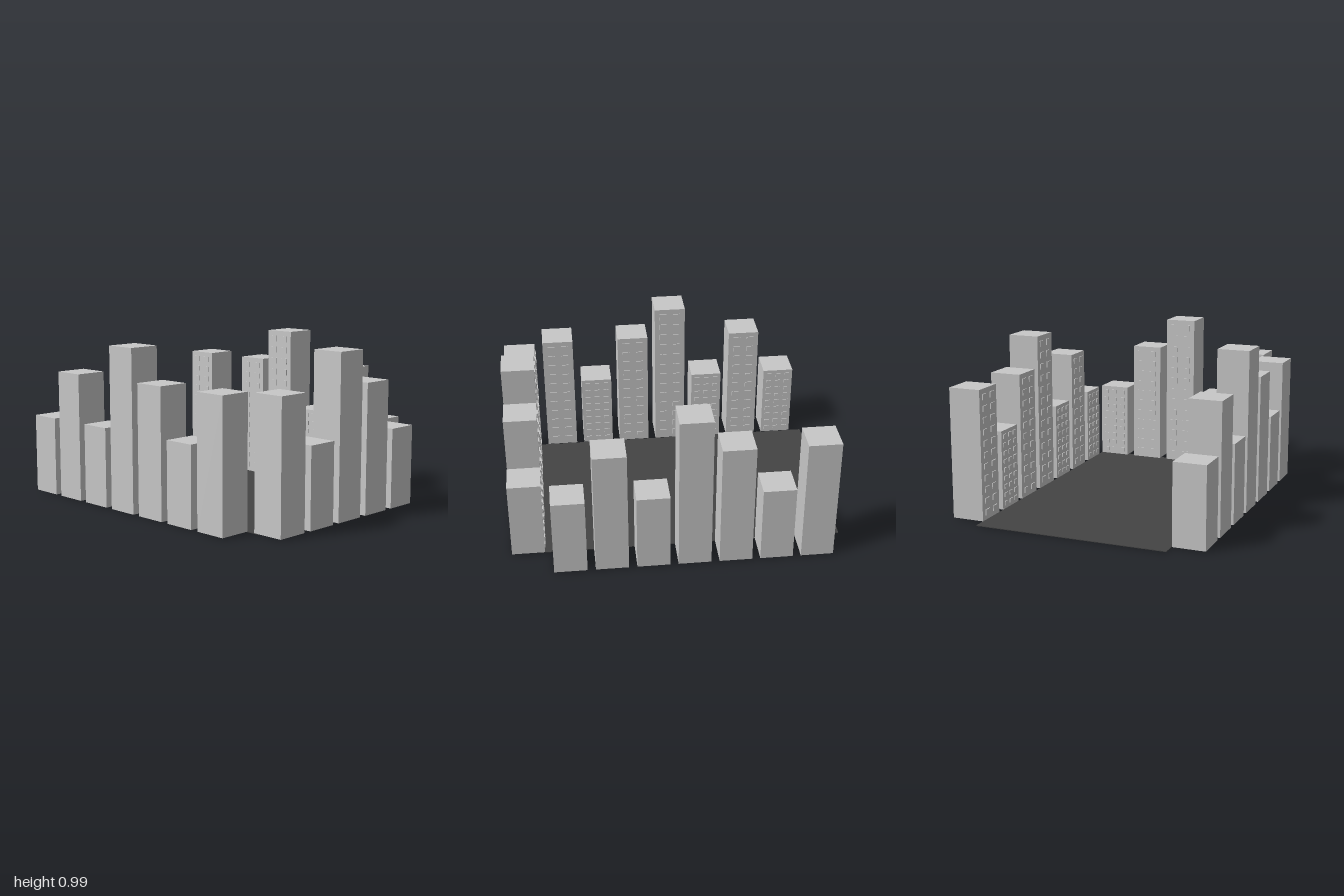
import * as THREE from 'three';
import { mergeGeometries } from 'three/addons/utils/BufferGeometryUtils.js';

const WIDTH = 0.197, STEP = 0.246, BASE = 0.004, PROUD = 0.006;

// Window layout for each of the three tower types, keyed by height
const TYPES = {
  low: { top: 0.49, cols: 3, rows: 9, w: 0.034, h: 0.026 },
  mid: { top: 0.79, cols: 2, rows: 11, w: 0.045, h: 0.034 },
  high: { top: 0.988, cols: 2, rows: 13, w: 0.045, h: 0.038 },
};

export function createModel() {
  const concrete = new THREE.MeshStandardMaterial({ color: 0xc8c8c8 });
  concrete.name = 'light concrete';
  const asphalt = new THREE.MeshStandardMaterial({ color: 0x444444 });
  asphalt.name = 'dark asphalt';

  const city = new THREE.Group();
  city.name = 'cityBlock';

  const box = (name, w, h, d, material, x, y, z) => {
    const mesh = new THREE.Mesh(new THREE.BoxGeometry(w, h, d), material);
    mesh.name = name;
    mesh.position.set(x, y, z);
    return mesh;
  };

  // Grid of slightly raised windows on the local +z face
  const windowGrid = ({ top, cols, rows, w, h }) => {
    const panes = [];
    const rowStep = (top - BASE) / (rows + 0.35);
    const colStep = WIDTH / (cols + 0.25);
    for (let r = 0; r < rows; r++) {
      for (let c = 0; c < cols; c++) {
        const pane = new THREE.BoxGeometry(w, h, PROUD);
        pane.translate((c - (cols - 1) / 2) * colStep, top - (r + 0.7) * rowStep, (WIDTH + PROUD) / 2);
        panes.push(pane);
      }
    }
    const mesh = new THREE.Mesh(mergeGeometries(panes), concrete);
    mesh.name = 'windows';
    return mesh;
  };

  // Tower whose windowed face is turned by the given angle
  const addTower = (name, kind, x, z, angle) => {
    const type = TYPES[kind];
    const tower = new THREE.Group();
    tower.name = name;
    const height = type.top - BASE;
    tower.add(box('towerBody', WIDTH, height, WIDTH, concrete, 0, BASE + height / 2, 0));
    tower.add(windowGrid(type));
    tower.position.set(x, 0, z);
    tower.rotation.y = angle;
    city.add(tower);
  };

  // Ground slab enclosed by the towers
  city.add(box('ground', 1.83, BASE, 1.18, asphalt, -0.085, BASE / 2, -0.003));

  // Front and back rows: the same sequence, turned half way round
  const row = ['low', 'mid', 'low', 'high', 'mid', 'low', 'mid'];
  row.forEach((kind, i) => {
    const offset = (i - 3) * STEP;
    addTower('frontTower' + (i + 1), kind, -0.085 + offset, 0.688, Math.PI);
    addTower('backTower' + (i + 1), kind, -0.085 - offset, -0.691, 0);
  });

  // Side row, listed from back to front, facing -x
  ['low', 'mid', 'high', 'low', 'mid'].forEach((kind, i) => {
    addTower('sideTower' + (i + 1), kind, 0.9, -0.003 + (i - 2) * STEP, -Math.PI / 2);
  });

  return city;
}
